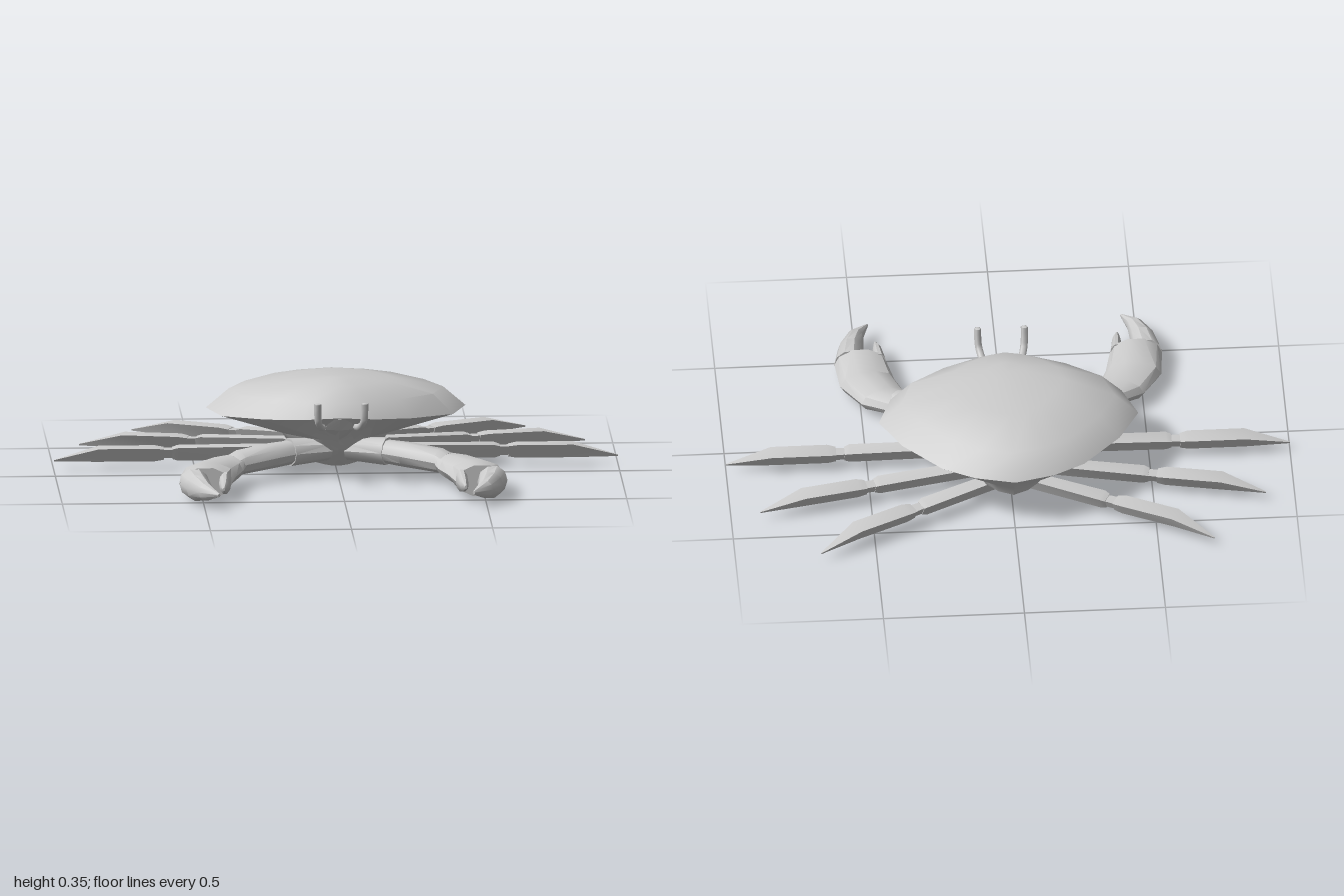
import * as THREE from 'three';
import { toCreasedNormals } from 'three/addons/utils/BufferGeometryUtils.js';

const V = (x, y, z) => new THREE.Vector3(x, y, z);
const material = new THREE.MeshStandardMaterial({ color: 0xcccccc });

// Closed skin through rings of equal length; side = -1 mirrors it in x
function loft(name, rings, crease = 0.6, side = 1) {
  const tris = [];
  const n = rings[0].length;
  const add = (a, b, c) => tris.push([a, b, c]);
  for (let r = 0; r + 1 < rings.length; r++) {
    for (let i = 0; i < n; i++) {
      const j = (i + 1) % n;
      const [a, b, c, d] = [rings[r][i], rings[r][j], rings[r + 1][j], rings[r + 1][i]];
      add(a, b, c);
      add(a, c, d);
    }
  }
  const cap = (ring, flip) => {
    const mid = ring.reduce((s, p) => s.add(p), V(0, 0, 0)).divideScalar(n);
    ring.forEach((p, i) => {
      const q = ring[(i + 1) % n];
      flip ? add(mid, q, p) : add(mid, p, q);
    });
  };
  cap(rings[0], true);
  cap(rings[rings.length - 1], false);

  // Signed volume decides which way the faces must wind
  let volume = 0;
  const cross = V(0, 0, 0);
  for (const [a, b, c] of tris) volume += a.dot(cross.crossVectors(b, c));
  const flip = volume * side < 0;
  const pos = [];
  for (const [a, b, c] of tris) {
    for (const p of flip ? [a, c, b] : [a, b, c]) pos.push(p.x * side, p.y, p.z);
  }
  const geo = new THREE.BufferGeometry();
  geo.setAttribute('position', new THREE.Float32BufferAttribute(pos, 3));
  const mesh = new THREE.Mesh(toCreasedNormals(geo, crease), material);
  mesh.name = name;
  return mesh;
}

// Rim of the shell, front to back on the left half: x, y, z
const half = [
  [0, 0.24, 0.18], [0.13, 0.23, 0.155], [0.26, 0.222, 0.10], [0.41, 0.216, 0.0],
  [0.46, 0.22, -0.14], [0.385, 0.22, -0.28], [0.25, 0.22, -0.425], [0.14, 0.22, -0.485],
  [0, 0.22, -0.52],
];
const rim = [...half, ...half.slice(1, -1).reverse().map(([x, y, z]) => [-x, y, z])];

// Rim outline squeezed to a half width and a z range, with heights at front and back
function shellRing(w, front, back, yFront, yBack) {
  return rim.map(([x, , z]) => {
    const t = (z + 0.52) / 0.7;
    return V(x / 0.46 * w, yBack + (yFront - yBack) * t, back + (front - back) * t);
  });
}

// Ellipse rings between outer and inner edge points: xo, zo, xi, zi, y, half height
function limbRings(rows, sides = 10) {
  return rows.map(([xo, zo, xi, zi, y, h]) => Array.from({ length: sides }, (_, i) => {
    const a = i / sides * Math.PI * 2;
    const c = Math.cos(a) / 2;
    return V((xo + xi) / 2 + (xo - xi) * c, y + Math.sin(a) * h, (zo + zi) / 2 + (zo - zi) * c);
  }));
}

// Walking leg along an axis: flat on top, with a narrow keel below
function leg(name, x, z, angle, length, skew, side) {
  const c = Math.cos(angle), s = Math.sin(angle);
  const ring = (d, w, top, bottom, off = 0) => [
    [-w, top], [w, top], [w * 0.25, bottom], [-w * 0.25, bottom],
  ].map(([o, y]) => V(x + d * c - (o + off) * s, y, z - d * s - (o + off) * c));
  const group = new THREE.Group();
  group.name = name;
  const k = length - 0.39;
  group.add(
    loft('upperLeg', [ring(0, 0.026, 0.09, 0.04), ring(k - 0.05, 0.03, 0.086, 0.036),
      ring(k - 0.03, 0.024, 0.08, 0.042)], 0.3, side),
    loft('legJoint', [ring(k - 0.032, 0.02, 0.078, 0.045), ring(k + 0.01, 0.022, 0.078, 0.045)], 0.3, side),
    loft('legBlade', [ring(k, 0.026, 0.08, 0.04), ring(k + 0.03, 0.033, 0.085, 0.035),
      ring(length - 0.16, 0.033, 0.085, 0.035), ring(length, 0.002, 0.041, 0.036, skew)], 0.3, side),
  );
  return group;
}

function claw(name, side) {
  const group = new THREE.Group();
  group.name = name;
  const part = (n, rows) => group.add(loft(n, limbRings(rows), 0.65, side));
  part('shoulder', [
    [0.06, -0.05, 0.02, 0.05, 0.095, 0.04], [0.20, 0.01, 0.15, 0.10, 0.095, 0.05],
  ]);
  part('arm', [
    [0.18, 0.01, 0.14, 0.09, 0.095, 0.042], [0.27, 0.05, 0.21, 0.13, 0.09, 0.045],
    [0.385, 0.107, 0.33, 0.205, 0.08, 0.043], [0.42, 0.14, 0.35, 0.22, 0.075, 0.036],
  ]);
  part('palm', [
    [0.39, 0.11, 0.335, 0.21, 0.075, 0.036], [0.50, 0.176, 0.345, 0.235, 0.066, 0.044],
    [0.57, 0.29, 0.375, 0.32, 0.062, 0.05], [0.582, 0.43, 0.397, 0.43, 0.06, 0.058],
  ]);
  part('largeFinger', [
    [0.582, 0.42, 0.475, 0.43, 0.06, 0.055], [0.562, 0.51, 0.472, 0.51, 0.06, 0.048],
    [0.522, 0.59, 0.467, 0.575, 0.06, 0.032], [0.455, 0.645, 0.447, 0.642, 0.06, 0.006],
  ]);
  part('smallFinger', [
    [0.442, 0.42, 0.397, 0.42, 0.06, 0.042], [0.44, 0.50, 0.409, 0.50, 0.06, 0.024],
    [0.433, 0.54, 0.425, 0.54, 0.06, 0.006],
  ]);
  return group;
}

function eye(name, side) {
  const path = new THREE.CatmullRomCurve3([
    V(0.06 * side, 0.2, 0.14), V(0.07 * side, 0.215, 0.21), V(0.08 * side, 0.24, 0.25),
    V(0.083 * side, 0.275, 0.263), V(0.083 * side, 0.31, 0.27),
  ]);
  const group = new THREE.Group();
  group.name = name;
  const stalk = new THREE.Mesh(new THREE.TubeGeometry(path, 10, 0.013, 6), material);
  stalk.name = 'eyeStalk';
  const tip = new THREE.Mesh(new THREE.SphereGeometry(0.013, 6, 4), material);
  tip.name = 'eyeTip';
  tip.scale.y = 0.3;
  tip.position.set(0.083 * side, 0.308, 0.27);
  group.add(stalk, tip);
  return group;
}

export function createModel() {
  const model = new THREE.Group();
  const rimRing = rim.map((p) => V(...p));

  // Domed shell
  model.add(loft('upperShell', [
    rimRing,
    shellRing(0.38, 0.148, -0.45, 0.285, 0.298),
    shellRing(0.2, 0.09, -0.27, 0.337, 0.333),
    shellRing(0.06, 0.01, -0.1, 0.354, 0.351),
  ], 0.7));

  // Tapering underside and belly
  model.add(loft('underside', [
    rimRing,
    shellRing(0.2, 0.08, -0.445, 0.14, 0.135),
    shellRing(0.17, 0.06, -0.42, 0.1, 0.09),
    shellRing(0.08, -0.03, -0.29, 0.027, 0.027),
  ], 0.5));

  // Small wedge-shaped face under the front rim
  model.add(loft('face', [[0.02, 0.145, 0.09], [0.05, 0.19, 0.15], [0.04, 0.235, 0.182]].map(
    ([w, y, z]) => [V(-w, y, z - 0.02), V(0, y, z), V(w, y, z - 0.02), V(w, y, z - 0.08), V(-w, y, z - 0.08)],
  ), 0.3));

  for (const [label, side] of [['left', 1], ['right', -1]]) {
    model.add(
      claw(label + 'Claw', side),
      eye(label + 'Eye', side),
      leg(label + 'FrontLeg', 0.06, -0.11, 0, 0.94, 0, side),
      leg(label + 'MiddleLeg', 0.06, -0.218, 0.2, 0.855, 0.008, side),
      leg(label + 'BackLeg', 0.06, -0.31, 0.465, 0.722, 0.018, side),
    );
  }
  return model;
}
